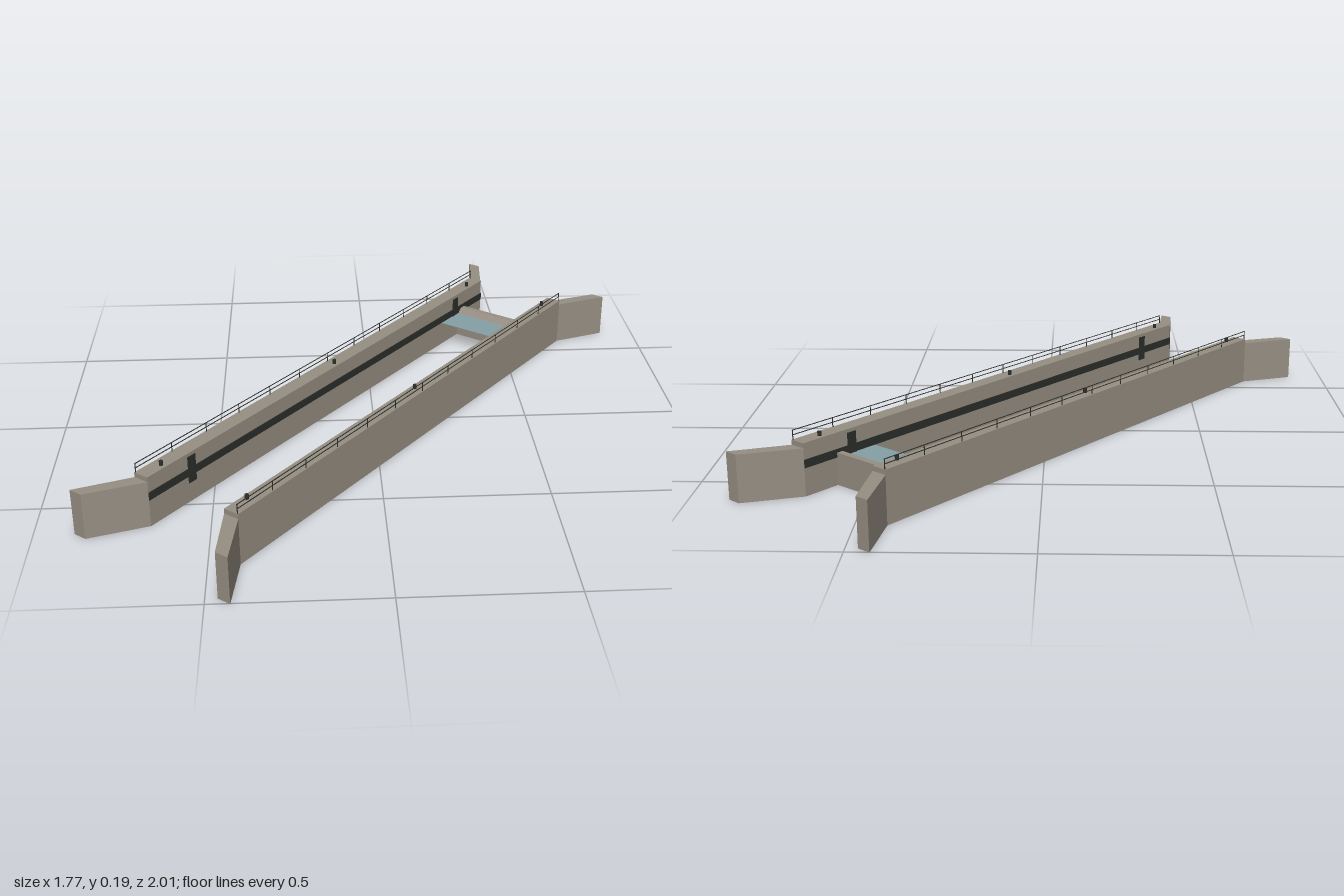
import * as THREE from 'three';

const mat = (name, color, side = THREE.FrontSide) => {
  const m = new THREE.MeshStandardMaterial({ color, side });
  m.name = name;
  return m;
};

// Local frame: x runs along the lock chamber, z runs across it.
const HALF = 0.897;             // half length of a chamber wall
const INNER = 0.142, OUTER = 0.192;
const MID = (INNER + OUTER) / 2;
const WALL_H = 0.16, WING_H = 0.145;

export function createModel() {
  const concrete = mat('concrete', 0x978f83);
  const iron = mat('dark iron', 0x2c2f2b);
  const lining = mat('dark lining', 0x45443e);
  const water = mat('water', 0x85a1a6, THREE.DoubleSide);

  const add = (parent, name, geo, material, x = 0, y = 0, z = 0) => {
    const mesh = new THREE.Mesh(geo, material);
    mesh.name = name;
    mesh.position.set(x, y, z);
    parent.add(mesh);
    return mesh;
  };
  const box = (parent, name, material, w, h, d, x, y, z) =>
    add(parent, name, new THREE.BoxGeometry(w, h, d), material, x, y, z);

  // Flared wing wall: a plan outline raised to the wing height
  const wingGeometry = (sign) => {
    const plan = [[HALF, INNER], [HALF, OUTER], [1.053, 0.289], [1.053, 0.246]];
    const shape = new THREE.Shape(plan.map(([x, z]) => new THREE.Vector2(sign * x, z)));
    return new THREE.ExtrudeGeometry(shape, { depth: WING_H, bevelEnabled: false })
      .rotateX(Math.PI / 2).translate(0, WING_H, 0);
  };

  const buildSide = (name) => {
    const side = new THREE.Group();
    side.name = name;

    // Hollow wall, open underneath
    const t = 0.004, len = HALF * 2;
    box(side, 'wallTop', concrete, len, t, OUTER - INNER, 0, WALL_H - t / 2, MID);
    box(side, 'wallTopLining', lining, len - 2 * t, 0.002, OUTER - INNER - 2 * t, 0, WALL_H - t - 0.001, MID);
    box(side, 'innerFace', concrete, len, WALL_H - t, t, 0, (WALL_H - t) / 2, INNER + t / 2);
    box(side, 'outerFace', concrete, len, WALL_H - t, t, 0, (WALL_H - t) / 2, OUTER - t / 2);

    for (const s of [-1, 1]) {
      box(side, 'wallEnd', concrete, t, WALL_H - t, OUTER - INNER - 2 * t, s * (HALF - t / 2), (WALL_H - t) / 2, MID);
      add(side, 'wingWall', wingGeometry(s), concrete);
      // Upright recess on the chamber face
      box(side, 'ladderRecess', iron, 0.032, 0.086, 0.004, s * 0.717, 0.106, INNER - 0.001);
    }

    // Fender band along the chamber face
    box(side, 'fenderBand', iron, len, 0.025, 0.003, 0, 0.098, INNER - 0.001);

    // Mooring bollards
    for (const x of [-0.822, 0, 0.822]) {
      add(side, 'bollard', new THREE.CylinderGeometry(0.006, 0.006, 0.014, 10), iron, x, WALL_H + 0.007, 0.159);
    }

    // Railing on the outer edge
    const posts = 13, railZ = 0.188;
    for (let i = 0; i < posts; i++) {
      const x = -HALF + 0.002 + (i / (posts - 1)) * (len - 0.004);
      box(side, 'railPost', iron, 0.002, 0.029, 0.002, x, WALL_H + 0.0145, railZ);
    }
    for (const y of [0.175, 0.189]) {
      box(side, 'handRail', iron, len, 0.002, 0.002, 0, y, railZ);
    }
    return side;
  };

  const lock = new THREE.Group();
  lock.name = 'lockChamber';
  const nearSide = buildSide('frontWall');
  const farSide = buildSide('backWall');
  farSide.rotation.y = Math.PI;
  lock.add(nearSide, farSide);

  // Sill across the chamber, with a sloped edge on the water side
  const profile = new THREE.Shape([
    [0.735, 0], [0.776, 0], [0.776, 0.1], [0.755, 0.1], [0.735, 0.08],
  ].map(([x, y]) => new THREE.Vector2(x, y)));
  add(lock, 'sill', new THREE.ExtrudeGeometry(profile, { depth: INNER * 2, bevelEnabled: false }),
    concrete, 0, 0, -INNER);

  // Water surface in front of the sill
  add(lock, 'waterSurface', new THREE.PlaneGeometry(0.11, INNER * 2).rotateX(-Math.PI / 2),
    water, 0.681, 0.084, 0);

  // The chamber lies diagonally
  lock.rotation.y = Math.atan2(0.781, 0.625);

  const model = new THREE.Group();
  model.name = 'canalLock';
  model.add(lock);
  return model;
}
